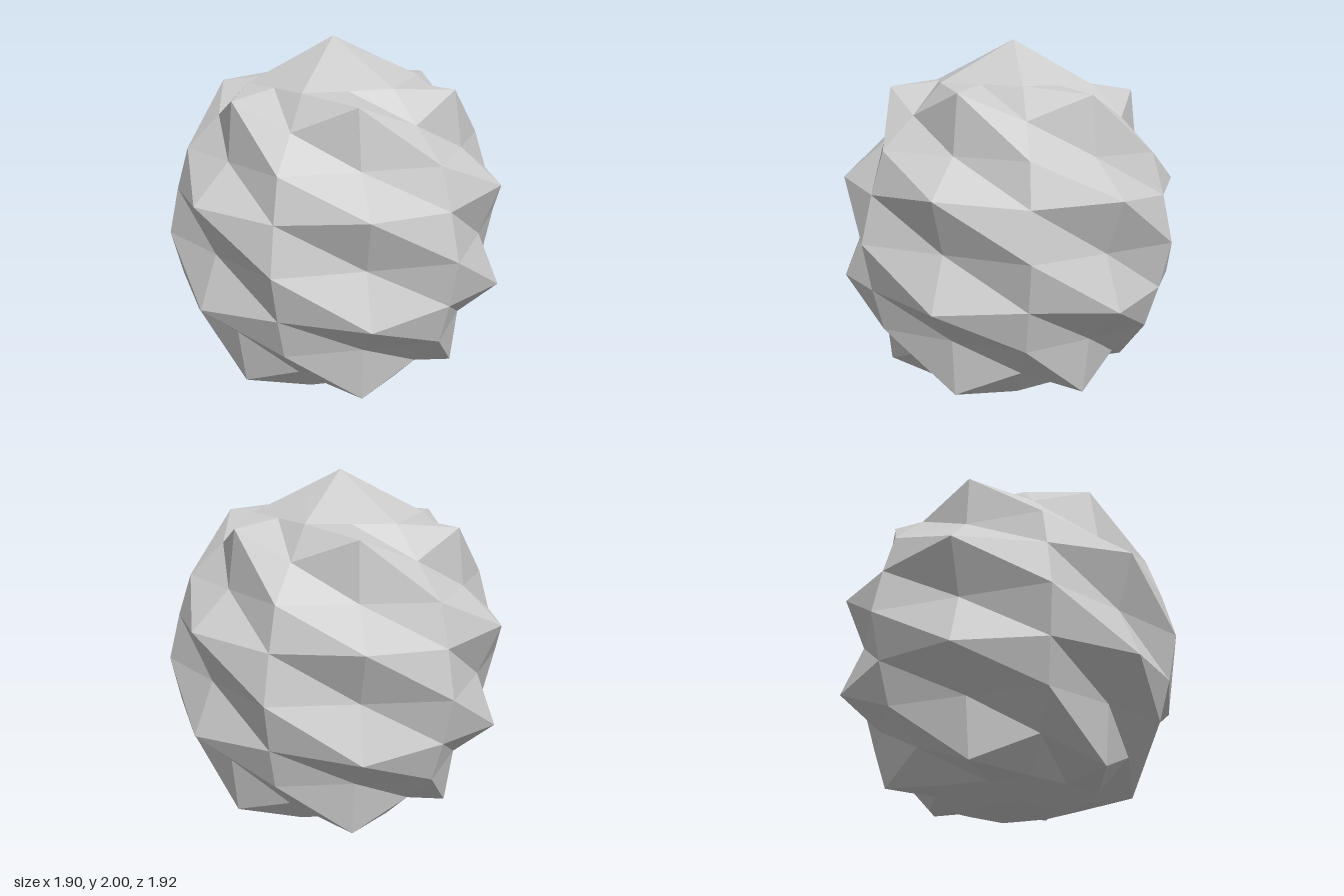
import * as THREE from 'three';

// [radius, height] from the equator towards a pole, for the two alternating columns
const RIDGE = [[0.97, 0], [0.91, 0.26], [0.84, 0.49], [0.655, 0.67], [0.485, 0.84], [0.25, 0.955], [0, 1.08]];
const SPIKE = [[0.845, 0], [0.962, 0.29], [0.735, 0.49], [0.695, 0.805], [0.42, 0.84], [0.217, 0.955], [0, 1.08]];
const SEGMENTS = 12;
const FLAT_BASE = -0.912;

export function createModel() {
  const group = new THREE.Group();
  group.name = 'spikyBall';

  // Twelve-sided sphere whose vertices are pushed in and out like a checkerboard
  const geometry = new THREE.SphereGeometry(1, SEGMENTS, SEGMENTS);
  const position = geometry.attributes.position;
  const twist = 0.38;
  for (let i = 0; i < position.count; i++) {
    const row = Math.floor(i / (SEGMENTS + 1));
    const column = i % (SEGMENTS + 1);
    const level = SEGMENTS / 2 - row;
    const [radius, height] = (column % 2 ? SPIKE : RIDGE)[Math.abs(level)];
    const angle = twist + (column / SEGMENTS) * Math.PI * 2;
    // The top ends in a point, the underside is flattened
    const y = level < 0 ? Math.max(-height, FLAT_BASE) : height;
    position.setXYZ(i, -radius * Math.cos(angle), y, radius * Math.sin(angle));
  }
  geometry.computeVertexNormals();

  const material = new THREE.MeshStandardMaterial({ color: 0xcccccc, flatShading: true });
  const body = new THREE.Mesh(geometry, material);
  body.name = 'facetedBody';
  body.position.y = 0.92;
  body.rotation.x = -0.025; // slight lean backwards
  group.add(body);
  return group;
}
